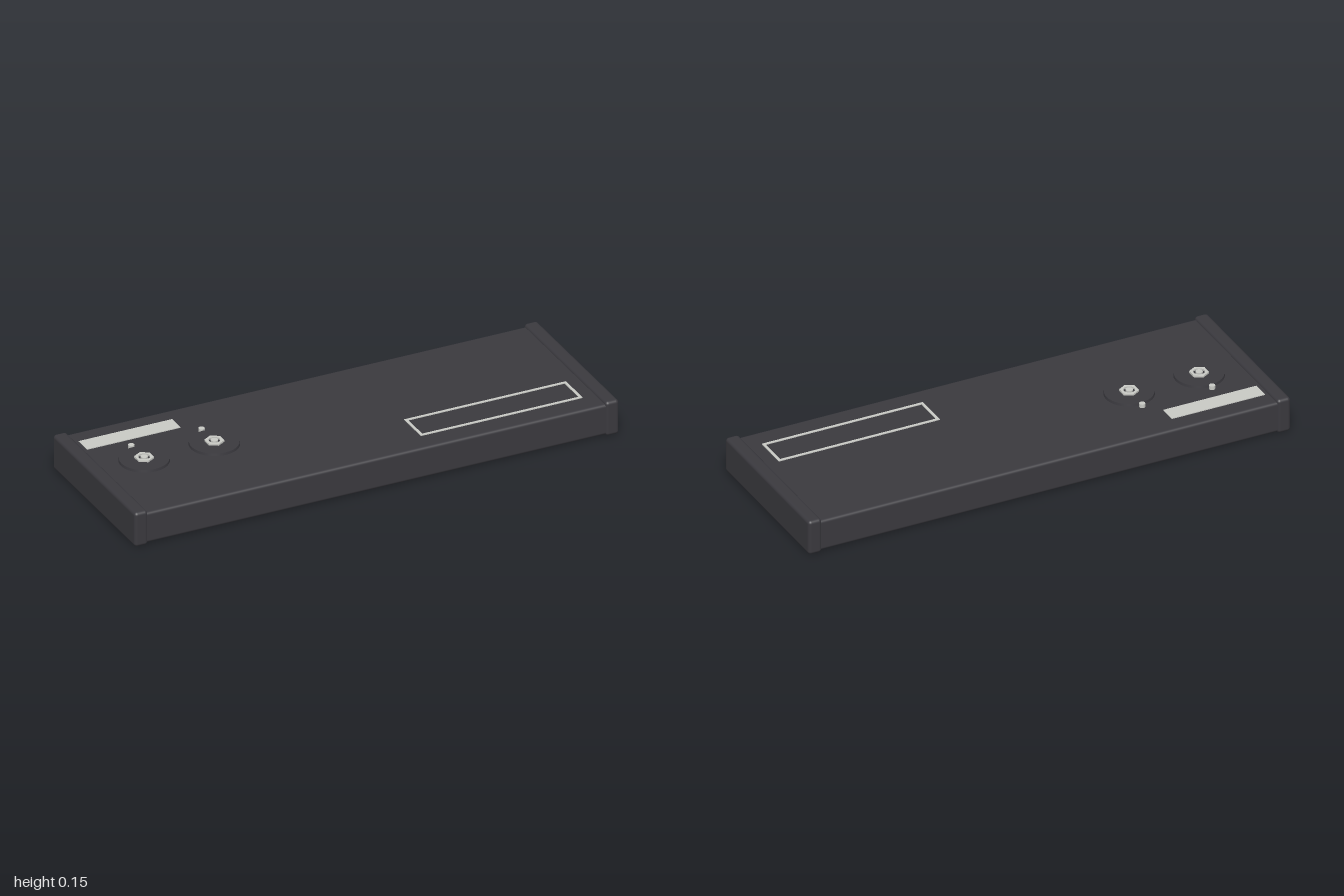
import * as THREE from 'three';
import { RoundedBoxGeometry } from 'three/addons/geometries/RoundedBoxGeometry.js';

export function createModel() {
  const model = new THREE.Group();
  const charcoal = new THREE.MeshStandardMaterial({ color: 0x3a393e });
  charcoal.name = 'charcoal';
  const paleGrey = new THREE.MeshStandardMaterial({ color: 0xc8c9c4 });
  paleGrey.name = 'paleGrey';

  const add = (name, geometry, material, x, y, z, parent = model) => {
    const mesh = new THREE.Mesh(geometry, material);
    mesh.name = name;
    mesh.position.set(x, y, z);
    parent.add(mesh);
    return mesh;
  };
  const top = 0.132;

  // Long flat case with a slightly taller cap at each end
  add('case', new RoundedBoxGeometry(1.94, top - 0.005, 0.68, 4, 0.012), charcoal, 0, (top + 0.005) / 2, 0);
  for (const side of [-1, 1]) {
    add(side > 0 ? 'leftEndCap' : 'rightEndCap',
      new RoundedBoxGeometry(0.055, 0.143, 0.69, 4, 0.013), charcoal, side * 0.9725, 0.0715, 0);
  }

  // Thin pale plate near the back
  add('labelPlate', new THREE.BoxGeometry(0.386, 0.004, 0.07), paleGrey, -0.737, top + 0.001, -0.233);

  // Pale rectangular outline near the front
  const outline = new THREE.Shape([[-0.334, -0.07], [0.334, -0.07], [0.334, 0.07], [-0.334, 0.07]]
    .map(([x, y]) => new THREE.Vector2(x, y)));
  outline.holes.push(new THREE.Path([[-0.323, -0.059], [-0.323, 0.059], [0.323, 0.059], [0.323, -0.059]]
    .map(([x, y]) => new THREE.Vector2(x, y))));
  const frame = new THREE.ExtrudeGeometry(outline, { depth: 0.004, bevelEnabled: false });
  frame.rotateX(-Math.PI / 2);
  add('outlineFrame', frame, paleGrey, 0.559, top - 0.001, 0.184);

  // Two round dials, each with a hexagonal nut, a centre pin and a marker peg
  const hexagon = new THREE.Shape();
  for (let i = 0; i < 6; i++) {
    const a = (i + 0.5) * Math.PI / 3;
    hexagon[i ? 'lineTo' : 'moveTo'](0.037 * Math.cos(a), 0.037 * Math.sin(a));
  }
  hexagon.closePath();
  hexagon.holes.push(new THREE.Path().absarc(0, 0, 0.022, 0, Math.PI * 2, true));
  const nut = new THREE.ExtrudeGeometry(hexagon, { depth: 0.007, bevelEnabled: false, curveSegments: 12 });
  nut.rotateX(-Math.PI / 2);

  for (const [name, x] of [['outerDial', -0.777], ['innerDial', -0.487]]) {
    const dial = new THREE.Group();
    dial.name = name;
    dial.position.set(x, top, -0.031);
    model.add(dial);
    add('disc', new THREE.CylinderGeometry(0.094, 0.096, 0.012, 48), charcoal, 0, 0.004, 0, dial);
    add('nut', nut, paleGrey, 0, 0.01, 0, dial);
    add('centrePin', new THREE.CylinderGeometry(0.014, 0.014, 0.01, 16), paleGrey, 0, 0.013, 0, dial);
    add('markerPeg', new THREE.CylinderGeometry(0.012, 0.012, 0.018, 12), paleGrey, 0, 0.006, -0.107, dial);
  }
  return model;
}
